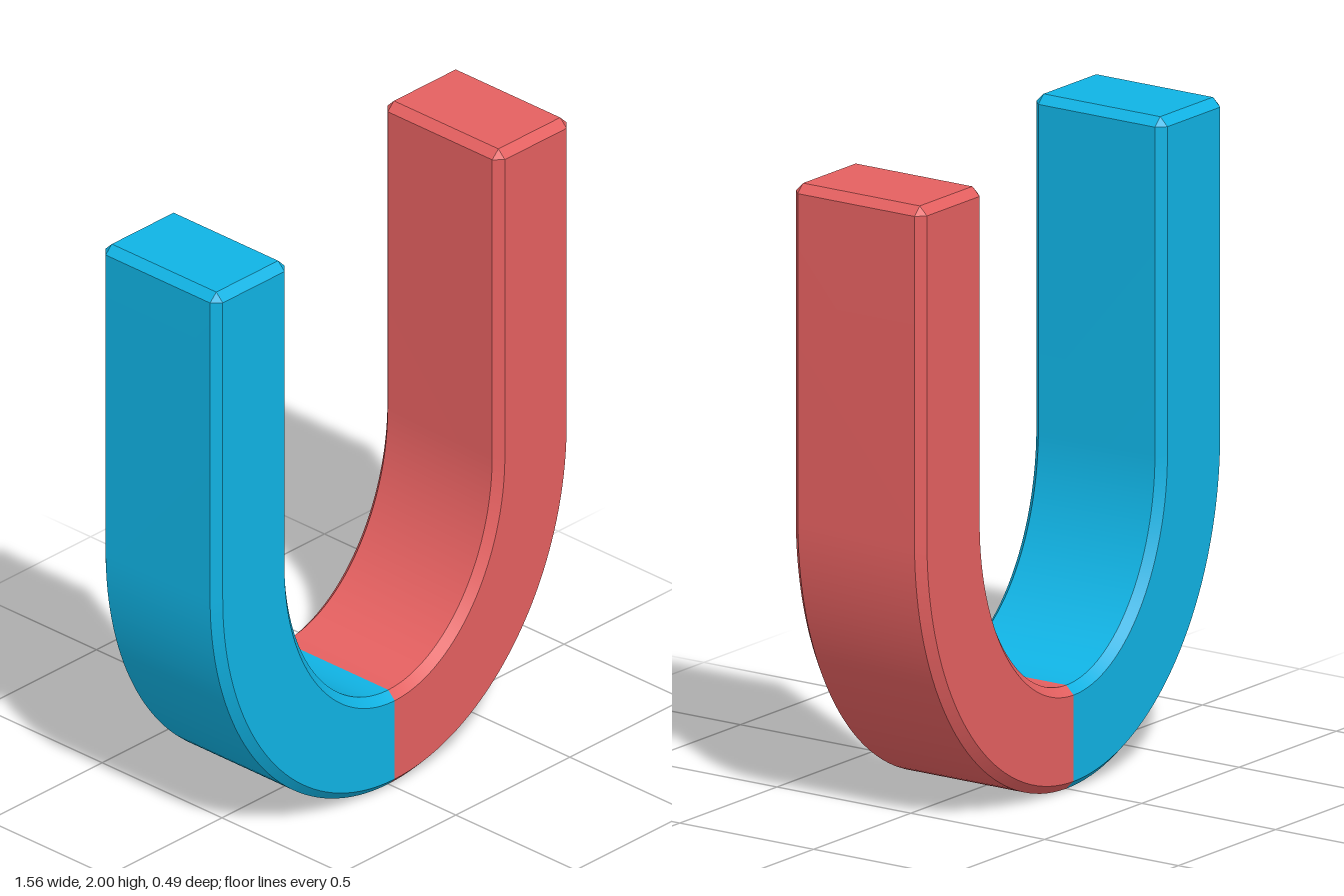
import * as THREE from 'three';
import { toCreasedNormals } from 'three/addons/utils/BufferGeometryUtils.js';

const HALF_W = 0.1625, HALF_D = 0.245, BEVEL = 0.027; // bar section
const RX = 0.6185, RY = 0.7875, BEND_Y = 0.95, TOP = 2; // centre line
const BEND_STEPS = 40;

// Chamfered rectangle (u = outward across the bar, z = depth), counter-clockwise
function section(hw, hd, cut) {
  return [
    [hw, -hd + cut], [hw, hd - cut], [hw - cut, hd], [-hw + cut, hd],
    [-hw, hd - cut], [-hw, -hd + cut], [-hw + cut, -hd], [hw - cut, -hd],
  ];
}

// One half of the U, swept from the leg's tip down to the middle of the bend
function halfGeometry(side) {
  const full = section(HALF_W, HALF_D, BEVEL);
  const tip = section(HALF_W - BEVEL, HALF_D - BEVEL, 0);
  const stations = [
    { x: RX, y: TOP, nx: 1, ny: 0, ring: tip },
    { x: RX, y: TOP - BEVEL, nx: 1, ny: 0, ring: full },
  ];
  for (let i = 0; i <= BEND_STEPS; i++) {
    const t = (i / BEND_STEPS) * Math.PI / 2;
    const c = i === BEND_STEPS ? 0 : Math.cos(t), s = Math.sin(t);
    const n = new THREE.Vector2(c / RX, -s / RY).normalize();
    stations.push({ x: RX * c, y: BEND_Y - RY * s, nx: n.x, ny: n.y, ring: full });
  }

  const positions = [], index = [];
  for (const p of stations) {
    for (const [u, z] of p.ring) positions.push(side * (p.x + p.nx * u), p.y + p.ny * u, z);
  }
  const face = (a, b, c) => (side > 0 ? index.push(a, b, c) : index.push(a, c, b));
  for (let i = 0; i < stations.length - 1; i++) {
    for (let j = 0; j < 8; j++) {
      const a = i * 8 + j, b = i * 8 + (j + 1) % 8;
      face(a, b, a + 8);
      face(b, b + 8, a + 8);
    }
  }
  // Flat pole face at the tip
  for (let j = 1; j < 7; j++) face(0, j + 1, j);

  const geometry = new THREE.BufferGeometry();
  geometry.setAttribute('position', new THREE.Float32BufferAttribute(positions, 3));
  geometry.setIndex(index);
  return toCreasedNormals(geometry, 0.5);
}

export function createModel() {
  const group = new THREE.Group();
  group.name = 'horseshoeMagnet';
  for (const [name, side, color] of [['redHalf', 1, 0xe46060], ['blueHalf', -1, 0x10b3e4]]) {
    const mesh = new THREE.Mesh(halfGeometry(side), new THREE.MeshStandardMaterial({ color }));
    mesh.name = name;
    group.add(mesh);
  }
  return group;
}
